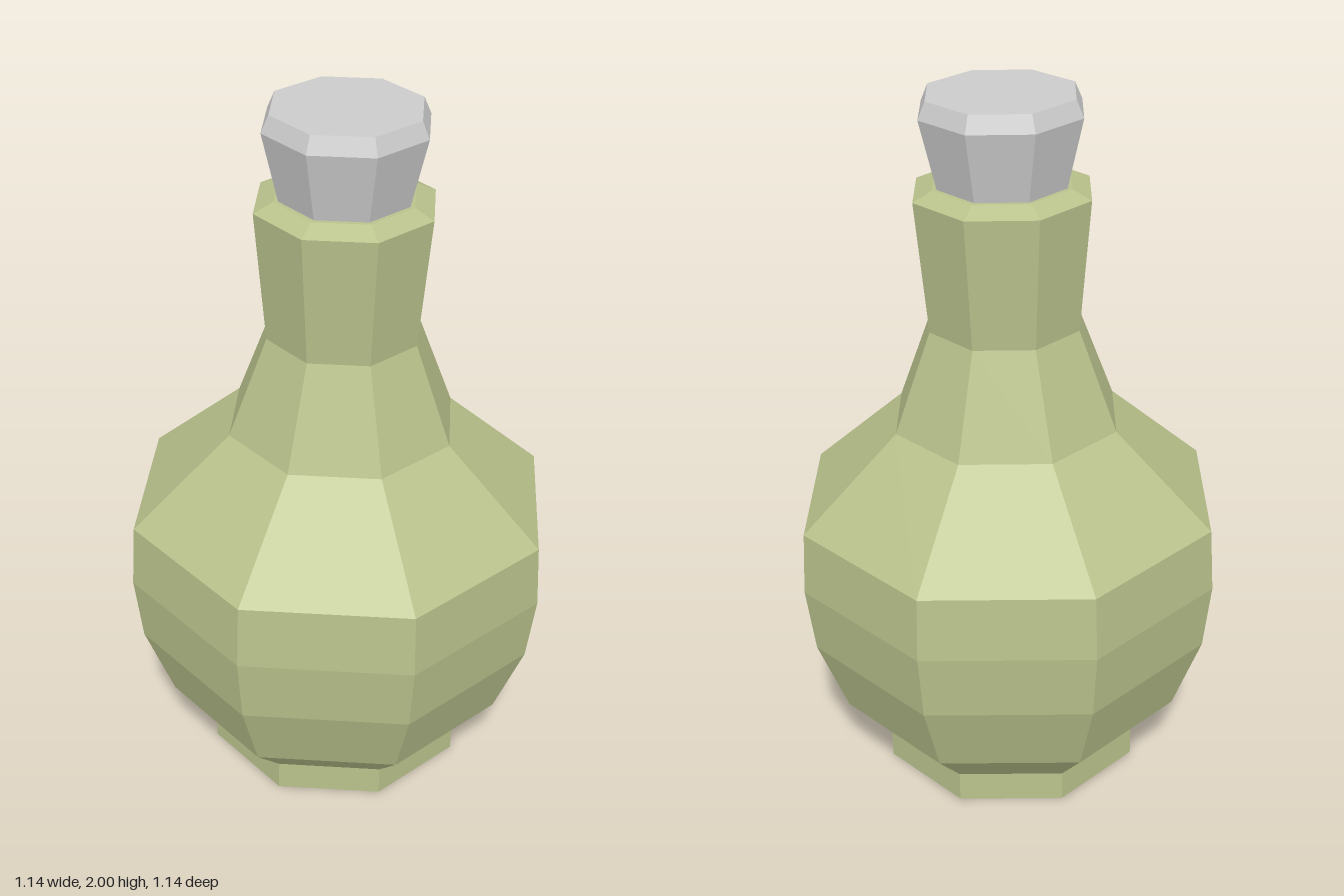
import * as THREE from 'three';

const SIDES = 8;
const CORNER = 1 / Math.cos(Math.PI / SIDES); // flat-to-centre distance -> corner radius

// Eight-sided turned part with flats facing the axes; profile is [flat distance, height]
function turned(name, profile, color) {
  const points = profile.map(([r, y]) => new THREE.Vector2(r * CORNER, y));
  const geometry = new THREE.LatheGeometry(points, SIDES, Math.PI / SIDES);
  const material = new THREE.MeshStandardMaterial({ color, flatShading: true });
  const mesh = new THREE.Mesh(geometry, material);
  mesh.name = name;
  return mesh;
}

export function createModel() {
  const model = new THREE.Group();
  model.name = 'bottle';

  // Foot, round belly, shoulder, flared neck and sloping rim
  const body = turned('bottleBody', [
    [0, 0], [0.355, 0], [0.355, 0.09], [0.47, 0.222], [0.547, 0.447],
    [0.568, 0.64], [0.558, 0.823], [0.3, 1.078], [0.2, 1.362],
    [0.23, 1.732], [0.18, 1.757], [0, 1.757],
  ], 0xb9c28c);

  // Tapered stopper with a bevelled top
  const stopper = turned('stopper', [
    [0, 1.7], [0.155, 1.7], [0.168, 1.757], [0.209, 1.947], [0.19, 1.993], [0, 1.993],
  ], 0xcccccc);

  model.add(body, stopper);

  // The bottle leans very slightly forward
  model.rotation.set(0.015, 0, -0.006);
  model.position.set(-0.006, 0.006, -0.006);
  return model;
}
